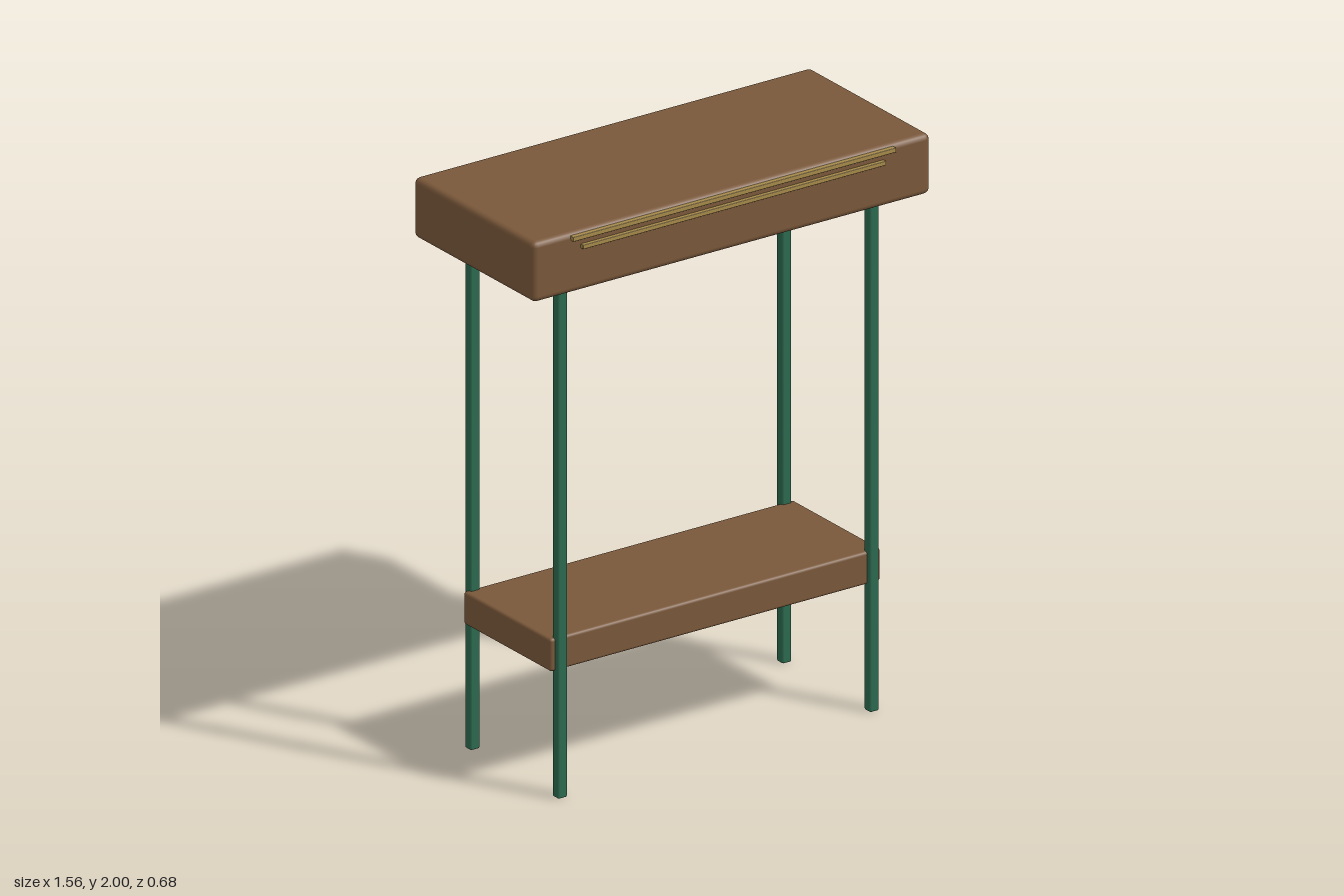
import * as THREE from 'three';
import { RoundedBoxGeometry } from 'three/addons/geometries/RoundedBoxGeometry.js';

export function createModel() {
  const group = new THREE.Group();
  group.name = 'sideTable';

  const paint = (name, color) => {
    const material = new THREE.MeshStandardMaterial({ color });
    material.name = name;
    return material;
  };
  const wood = paint('brown wood', 0x7a583a);
  const green = paint('green metal', 0x2d6a4f);
  const brass = paint('brass', 0xa68a4a);

  // Rounded block placed by its centre
  const block = (name, material, [w, h, d], [x, y, z], radius, segments = 2) => {
    const mesh = new THREE.Mesh(new RoundedBoxGeometry(w, h, d, segments, radius), material);
    mesh.name = name;
    mesh.position.set(x, y, z);
    group.add(mesh);
  };

  const midZ = -0.007;

  // Thick top and lower shelf
  block('tableTop', wood, [1.56, 0.21, 0.67], [0, 1.895, midZ], 0.02);
  block('shelf', wood, [1.296, 0.114, 0.485], [0, 0.498, midZ], 0.01);

  // Four slim legs that stop just short of the top
  for (const [side, sx] of [['Left', 1], ['Right', -1]]) {
    for (const [end, sz] of [['front', 1], ['back', -1]]) {
      block(`${end}${side}Leg`, green, [0.036, 1.766, 0.036],
        [sx * 0.612, 0.883, midZ + sz * 0.243], 0.006, 1);
    }
  }

  // Two brass strips along the front edge
  block('upperTrim', brass, [1.268, 0.016, 0.02], [0, 1.983, 0.332], 0.002, 1);
  block('lowerTrim', brass, [1.19, 0.015, 0.02], [0, 1.947, 0.332], 0.002, 1);

  return group;
}
